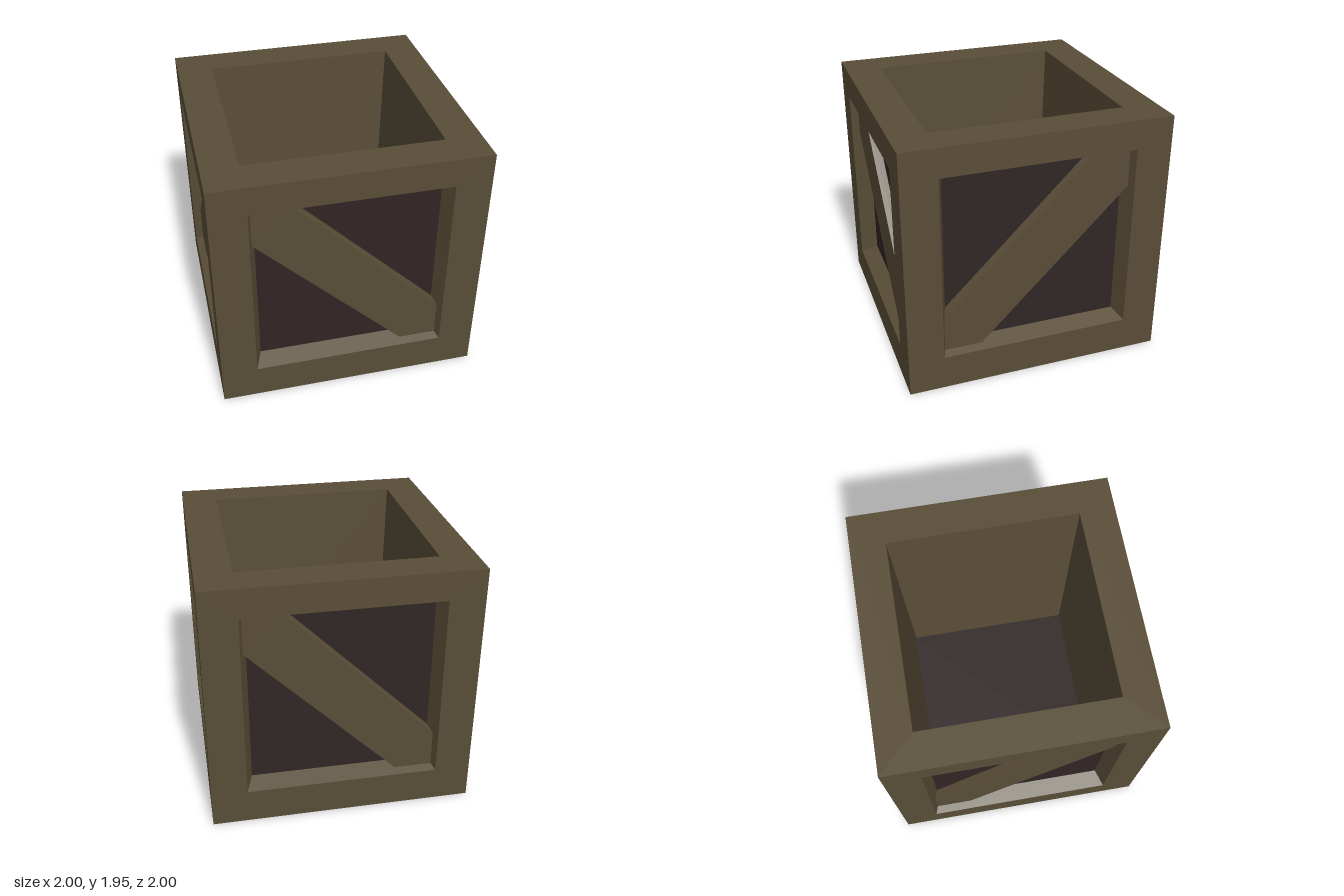
import * as THREE from 'three';

const wood = new THREE.MeshStandardMaterial({ color: 0x594d37 });
wood.name = 'wood';
const darkWood = new THREE.MeshStandardMaterial({ color: 0x302525 });
darkWood.name = 'darkWood';

const OPEN = 0.73;    // half width of an opening at its rim
const INNER = 0.68;   // half width where the bevel meets the panel
const PANEL_Z = 0.87; // panel plane, measured from the centre
const BRACE_Z = 0.94; // outer face of a brace
const TOP = 0.95;     // rim height above the centre
const FLOOR = -0.82;  // inside floor, from the centre

const rect = (w, y0, y1) => [[-w, y0], [w, y0], [w, y1], [-w, y1]];

// Diagonal plank outline with its ends cut to fit two corners
function braceLoop(h, o, flip) {
  const loop = [[-h, h - o], [h - o, -h], [h, -h], [h, o - h], [o - h, h], [-h, h]];
  return flip ? loop.map(([x, y]) => [-x, y]).reverse() : loop;
}

// Flat outline, optionally with a hole, at height z
function plate(loop, z, hole) {
  const vec = (l) => l.map(([x, y]) => new THREE.Vector2(x, y));
  const shape = new THREE.Shape(vec(loop));
  if (hole) shape.holes.push(new THREE.Path(vec(hole)));
  return new THREE.ShapeGeometry(shape).translate(0, 0, z);
}

// Band of quads joining an outer loop to an inner one
function loft(a, za, b, zb) {
  const pos = [];
  a.forEach((p, i) => {
    const j = (i + 1) % a.length;
    const a0 = [...p, za], a1 = [...a[j], za], b0 = [...b[i], zb], b1 = [...b[j], zb];
    pos.push(...a0, ...a1, ...b1, ...a0, ...b1, ...b0);
  });
  const g = new THREE.BufferGeometry();
  g.setAttribute('position', new THREE.Float32BufferAttribute(pos, 3));
  g.computeVertexNormals();
  return g;
}

function add(group, name, geometry, material) {
  const mesh = new THREE.Mesh(geometry, material);
  mesh.name = name;
  group.add(mesh);
}

// One recessed, braced side, facing local +z
function makeSide(name, top, flip) {
  const g = new THREE.Group();
  g.name = name;
  const rim = rect(OPEN, -OPEN, OPEN), inner = rect(INNER, -INNER, INNER);
  add(g, 'frame', plate(rect(1, -1, top), 1, rim), wood);
  add(g, 'frameBevel', loft(rim, 1, inner, PANEL_Z), wood);
  add(g, 'panel', plate(inner, PANEL_Z), darkWood);
  const face = braceLoop(0.707, 0.287, flip);
  add(g, 'braceFace', plate(face, BRACE_Z), wood);
  add(g, 'braceEdges', loft(braceLoop(INNER, 0.3, flip), PANEL_Z, face, BRACE_Z), wood);
  return g;
}

export function createModel() {
  const crate = new THREE.Group();
  crate.name = 'openCrate';

  // Four walls, bracing alternating in direction
  ['frontSide', 'leftSide', 'backSide', 'rightSide'].forEach((name, i) => {
    const side = makeSide(name, TOP, i % 2 === 1);
    side.rotation.y = i * Math.PI / 2;
    crate.add(side);
  });

  // Underside
  const bottom = makeSide('bottomSide', 1, true);
  bottom.rotation.x = Math.PI / 2;
  crate.add(bottom);

  // Open top: rim, tapering lining and floor
  const inside = new THREE.Group();
  inside.name = 'inside';
  const rim = rect(OPEN, -OPEN, OPEN), floor = rect(INNER, -INNER, INNER);
  add(inside, 'topRim', plate(rect(1, -1, 1), TOP, rim), wood);
  add(inside, 'lining', loft(rim, TOP, floor, FLOOR), wood);
  add(inside, 'floor', plate(floor, FLOOR), darkWood);
  inside.rotation.x = -Math.PI / 2;
  crate.add(inside);

  crate.children.forEach((c) => { c.position.y = 1; });
  return crate;
}
